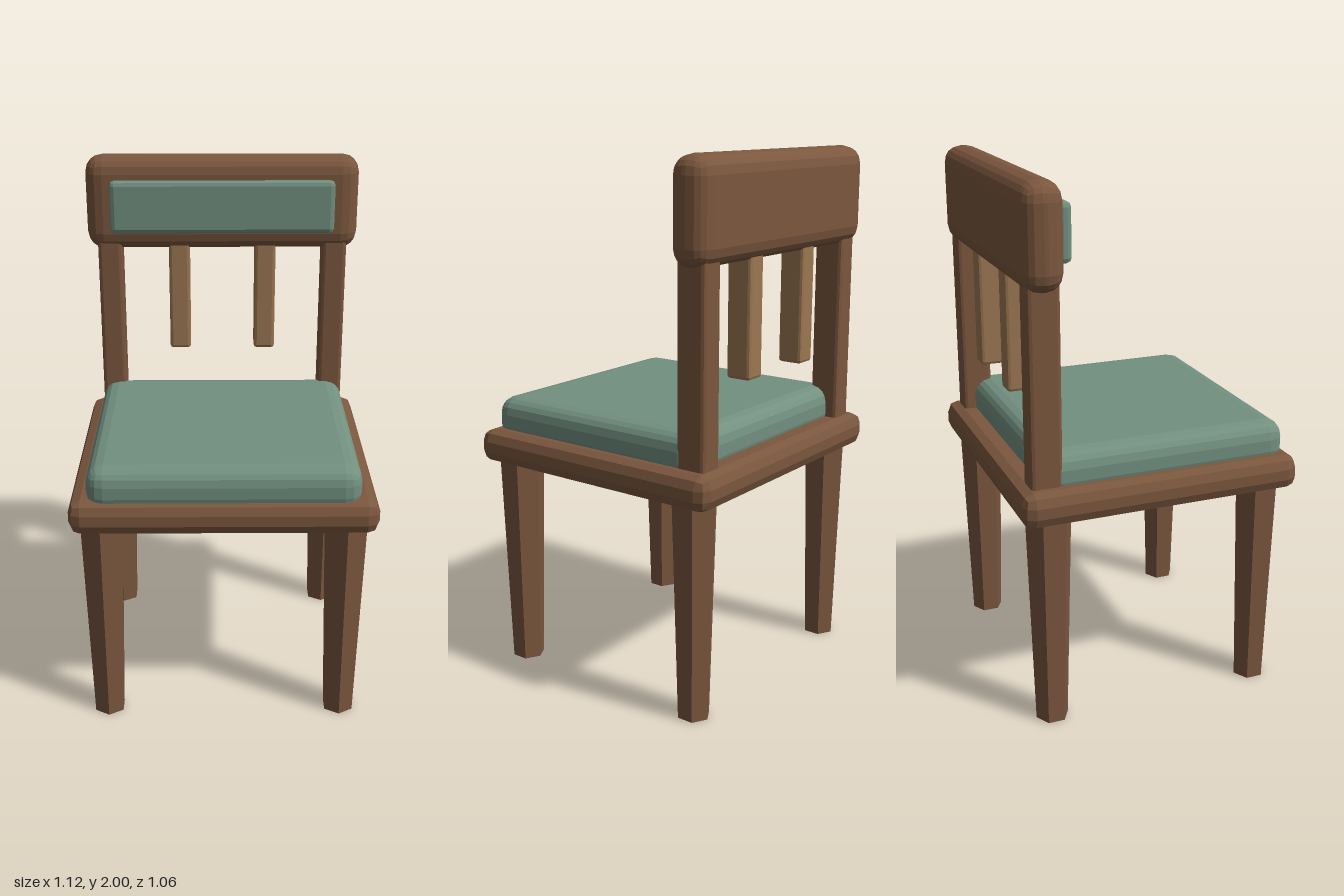
import * as THREE from 'three';
import { RoundedBoxGeometry } from 'three/addons/geometries/RoundedBoxGeometry.js';

const wood = new THREE.MeshStandardMaterial({ color: 0x7b573e });
wood.name = 'brown wood';
const paleWood = new THREE.MeshStandardMaterial({ color: 0x9b7752 });
paleWood.name = 'pale wood';
const fabric = new THREE.MeshStandardMaterial({ color: 0x729080 });
fabric.name = 'green fabric';

// Gives every face its own flat normal
function faceted(geometry) {
  const flat = geometry.index ? geometry.toNonIndexed() : geometry;
  flat.computeVertexNormals();
  return flat;
}

// Bevelled block given by its min and max on each axis
function block(name, material, [x0, x1], [y0, y1], [z0, z1], bevel, segments = 1) {
  const geometry = new RoundedBoxGeometry(x1 - x0, y1 - y0, z1 - z0, segments, bevel);
  const mesh = new THREE.Mesh(faceted(geometry), material);
  mesh.name = name;
  mesh.position.set((x0 + x1) / 2, (y0 + y1) / 2, (z0 + z1) / 2);
  return mesh;
}

export function createModel() {
  const chair = new THREE.Group();
  chair.name = 'chair';

  // Seat frame and cushion
  chair.add(block('seat', wood, [-0.56, 0.56], [0.815, 0.945], [-0.532, 0.532], 0.045));
  chair.add(block('seatCushion', fabric, [-0.497, 0.497], [0.89, 1.065], [-0.44, 0.505], 0.065, 2));

  // Top rail with its pad
  chair.add(block('topRail', wood, [-0.54, 0.54], [1.63, 2.0], [-0.505, -0.355], 0.068, 2));
  chair.add(block('backPad', fabric, [-0.44, 0.44], [1.71, 1.915], [-0.355, -0.305], 0.018));

  const legGeometry = faceted(new THREE.CylinderGeometry(0.086, 0.062, 0.83, 6));
  for (const side of [1, -1]) {
    const label = side > 0 ? 'left' : 'right';

    // Tapered six-sided legs
    for (const [end, z] of [['Front', 0.413], ['Back', -0.413]]) {
      const leg = new THREE.Mesh(legGeometry, wood);
      leg.name = `${label}${end}Leg`;
      leg.position.set(side * 0.448, 0.415, z);
      chair.add(leg);
    }

    // Back post and hanging slat
    const post = block(`${label}BackPost`, wood, [-0.048, 0.048], [0.9, 1.72], [-0.486, -0.37], 0.014);
    post.position.x = side * 0.45;
    const slat = block(`${label}Slat`, paleWood, [-0.042, 0.042], [1.21, 1.7], [-0.478, -0.38], 0.012);
    slat.position.x = side * 0.173;
    chair.add(post, slat);
  }
  return chair;
}
